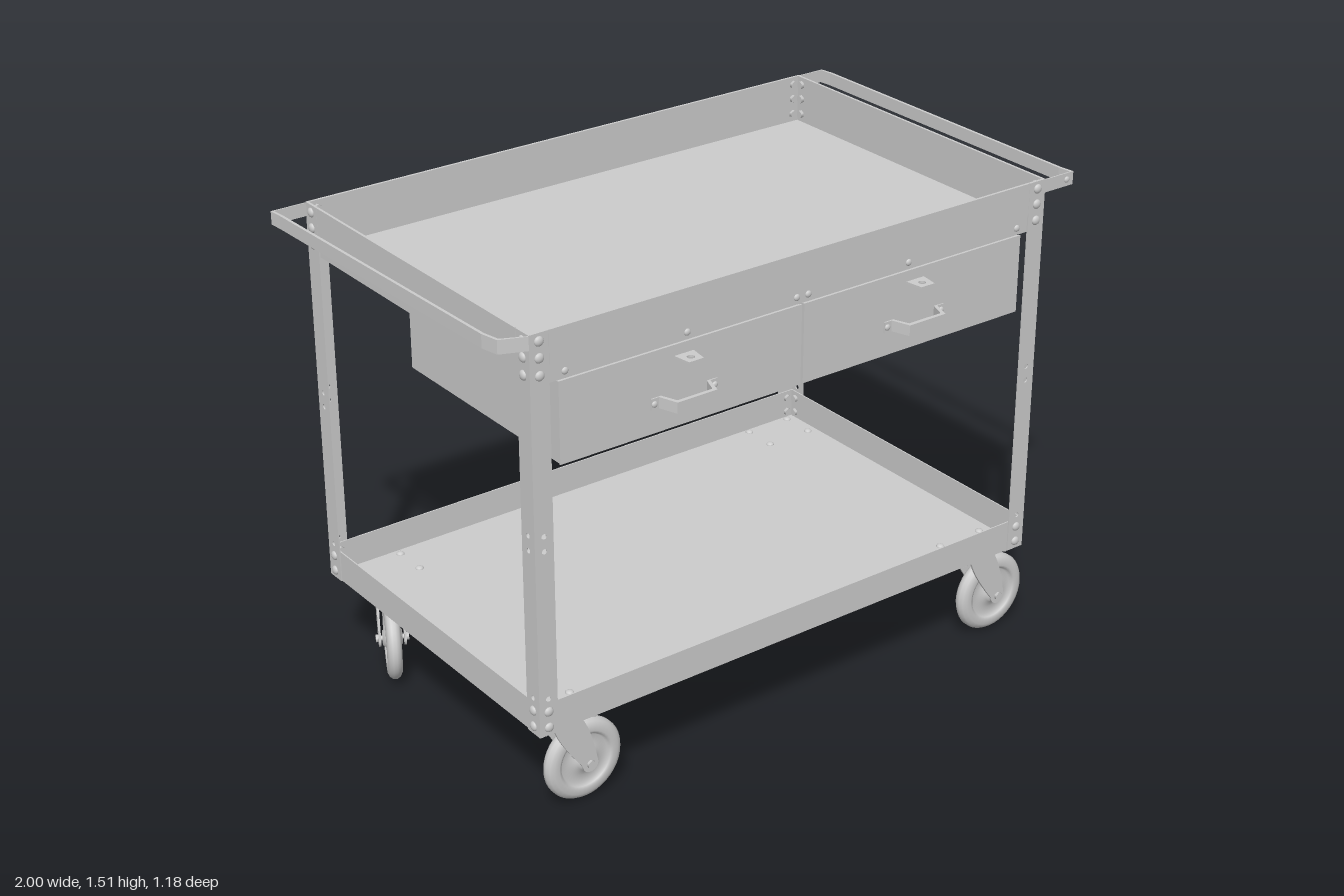
import * as THREE from 'three';

const steel = new THREE.MeshStandardMaterial({ color: 0xcccccc });
steel.name = 'grey steel';

const X = 0.89, ZF = 0.535, ZB = -0.585, T = 0.004;

function add(parent, name, geometry, x = 0, y = 0, z = 0) {
  const mesh = new THREE.Mesh(geometry, steel);
  mesh.name = name;
  mesh.position.set(x, y, z);
  parent.add(mesh);
  return mesh;
}

function group(parent, name, x = 0, y = 0, z = 0, turn = 0) {
  const g = new THREE.Group();
  g.name = name;
  g.position.set(x, y, z);
  g.rotation.y = turn;
  parent.add(g);
  return g;
}

// Box given by its limits
function box(parent, name, x0, x1, y0, y1, z0, z1) {
  return add(parent, name, new THREE.BoxGeometry(x1 - x0, y1 - y0, z1 - z0),
    (x0 + x1) / 2, (y0 + y1) / 2, (z0 + z1) / 2);
}

const dome = new THREE.SphereGeometry(0.016, 14, 5, 0, Math.PI * 2, 0, Math.PI / 2).scale(1, 0.6, 1);
const nut = new THREE.CylinderGeometry(0.013, 0.013, 0.01, 6);

// Bolt head facing +z
function bolt(parent, x, y, z, size = 1) {
  const b = add(parent, 'bolt', dome, x, y, z);
  b.rotation.x = Math.PI / 2;
  b.scale.setScalar(size);
}

// Bent strap lying in x/z, standing upwards by h
function strap(parent, name, outer, inner, y, h) {
  const pts = [...outer, ...inner.slice().reverse()].map(([x, z]) => new THREE.Vector2(x, -z));
  const geo = new THREE.ExtrudeGeometry(new THREE.Shape(pts), { depth: h, bevelEnabled: false });
  geo.rotateX(-Math.PI / 2);
  return add(parent, name, geo, 0, y, 0);
}

// Open tray: floor and four walls inside the posts
function tray(parent, name, y0, y1) {
  const g = group(parent, name);
  const x = X - T, f = ZF - T, b = ZB + T;
  box(g, 'trayFloor', -x, x, y0, y0 + T, b, f);
  box(g, 'frontWall', -x, x, y0, y1, f - T, f);
  box(g, 'backWall', -x, x, y0, y1, b, b + T);
  for (const s of [-1, 1]) {
    box(g, 'endWall', s > 0 ? x - T : -x, s > 0 ? x : T - x, y0, y1, b, f);
  }
}

// Corner post of two punched flanges with bolts
function post(parent, x, z, turn) {
  const g = group(parent, 'cornerPost', x, 0, z, turn);
  const shape = new THREE.Shape([[-0.06, 0.315], [0, 0.315], [0, 1.515], [-0.06, 1.515]]
    .map(p => new THREE.Vector2(...p)));
  for (const y of [0.43, 0.885, 0.93]) {
    shape.holes.push(new THREE.Path().absarc(-0.03, y, 0.008, 0, Math.PI * 2, true));
  }
  const flange = new THREE.ExtrudeGeometry(shape, { depth: T, bevelEnabled: false, curveSegments: 8 });
  for (const side of [0, 1]) {
    const f = group(g, 'postFlange', 0, 0, 0, side * Math.PI / 2);
    // The second flange is turned and shifted to the other side of the corner
    const dx = side ? 0.06 : 0;
    add(f, 'flangePlate', flange, dx, 0, -T);
    for (const y of [0.34, 0.39, 1.395, 1.445, 1.492]) {
      bolt(f, dx - 0.03, y, 0, 0.9);
      add(f, 'nut', nut, dx - 0.03, y, -0.015).rotation.x = Math.PI / 2;
    }
  }
}

// Wheel profile: hub, dished disc and rounded tyre
const half = [[0.0, 0.03], [0.022, 0.03], [0.03, 0.02], [0.05, 0.012], [0.078, 0.01], [0.084, 0.02],
  [0.092, 0.023], [0.108, 0.022], [0.12, 0.016], [0.127, 0.006]];
const profile = [...half.map(([r, w]) => [r, -w]), ...half.slice().reverse()]
  .map(p => new THREE.Vector2(...p));
const wheelGeo = new THREE.LatheGeometry(profile, 40).rotateX(Math.PI / 2);

// Swivel caster trailing along its own +x
function caster(parent, x, z, turn, axle) {
  const trail = 0.08;
  const mount = group(parent, 'casterMount', x, 0, z);
  box(mount, 'mountingPlate', -0.095, 0.095, 0.31, 0.315, -0.07, 0.07);
  for (const sx of [-1, 1]) for (const sz of [-1, 1]) {
    add(mount, 'plateBolt', dome, sx * 0.08, 0.319, sz * 0.055).scale.setScalar(0.8);
    add(mount, 'plateNut', nut, sx * 0.08, 0.307, sz * 0.055);
  }
  const g = group(parent, 'caster', x, 0, z, turn);
  add(g, 'swivel', new THREE.CylinderGeometry(0.045, 0.045, 0.012, 24), 0, 0.304, 0);
  box(g, 'forkBridge', -0.04, 0.05, 0.285, 0.3, -0.042, 0.042);

  // Curved fork cheek from the bridge down to the axle
  const s = new THREE.Shape();
  s.moveTo(-0.04, 0.3);
  s.quadraticCurveTo(-0.034, 0.25, trail - 0.026, axle);
  s.absarc(trail, axle, 0.026, Math.PI, Math.PI * 2, false);
  s.quadraticCurveTo(0.085, 0.25, 0.05, 0.3);
  const cheek = new THREE.ExtrudeGeometry(s, { depth: 0.007, bevelEnabled: false });
  for (const w of [-0.042, 0.035]) add(g, 'forkCheek', cheek, 0, 0, w);

  add(g, 'wheel', wheelGeo, trail, axle, 0);
  const pin = add(g, 'axle', new THREE.CylinderGeometry(0.008, 0.008, 0.1, 12), trail, axle, 0);
  pin.rotation.x = Math.PI / 2;
  for (const w of [-0.045, 0.045]) {
    add(g, 'axleNut', nut, trail, axle, w).rotation.x = Math.PI / 2;
  }
}

// Drawer with bent pull and lock tab
function drawer(parent, x0, x1) {
  const g = group(parent, 'drawer');
  const c = (x0 + x1) / 2, z = 0.53;
  box(g, 'drawerBox', x0 + 0.002, x1 - 0.002, 1.121, 1.358, -0.2, z - T);
  box(g, 'drawerFront', x0, x1, 1.12, 1.36, z - T, z);
  const pull = strap(g, 'drawerPull',
    [[-0.11, z], [-0.11, z + T], [-0.085, z + T], [-0.066, 0.59], [0.066, 0.59], [0.085, z + T], [0.11, z + T], [0.11, z]],
    [[-0.076, z], [-0.058, 0.578], [0.058, 0.578], [0.076, z]], 1.192, 0.033);
  pull.position.x = c;
  for (const s of [-1, 1]) bolt(g, c + s * 0.1, 1.208, z + T, 0.6);

  const tab = new THREE.Shape([[-0.032, -z], [-0.024, -0.585], [0.024, -0.585], [0.032, -z]]
    .map(p => new THREE.Vector2(...p)));
  tab.holes.push(new THREE.Path().absarc(0, -0.56, 0.011, 0, Math.PI * 2, true));
  const tabGeo = new THREE.ExtrudeGeometry(tab, { depth: 0.006, bevelEnabled: false });
  add(g, 'lockTab', tabGeo.rotateX(-Math.PI / 2), c, 1.322, 0);
}

export function createModel() {
  const cart = new THREE.Group();
  cart.name = 'utilityCart';

  // Trays, the upper one with a raised rim band between the posts
  tray(cart, 'lowerTray', 0.315, 0.413);
  tray(cart, 'upperTray', 1.365, 1.515);
  const rim = group(cart, 'upperRim');
  const rx = X - 0.061;
  box(rim, 'frontRim', -rx, rx, 1.418, 1.515, ZF - T, ZF);
  box(rim, 'backRim', -rx, rx, 1.418, 1.515, ZB, ZB + T);
  for (const x of [-X, X - T]) box(rim, 'endRim', x, x + T, 1.418, 1.515, ZB + 0.061, ZF - 0.061);
  for (const x of [-0.78, -0.39, -0.02, 0.02, 0.38, 0.79]) bolt(cart, x, 1.386, ZF - T, 0.65);

  // Corner posts
  post(cart, X, ZF, 0);
  post(cart, X, ZB, Math.PI / 2);
  post(cart, -X, ZB, Math.PI);
  post(cart, -X, ZF, -Math.PI / 2);

  // Drawers side by side
  drawer(cart, -0.8, 0);
  drawer(cart, 0.008, 0.808);

  // Straight end handle
  const leftHandle = group(cart, 'leftHandle');
  strap(leftHandle, 'handleStrap',
    [[X, ZF], [1, ZF], [0.995, 0.49], [0.992, -0.54], [0.985, ZB], [X, ZB]],
    [[X, ZF - T], [0.99, ZF - T], [0.986, 0.49], [0.983, -0.54], [0.979, ZB + T], [X, ZB + T]], 1.473, 0.04);
  bolt(leftHandle, 0.975, 1.493, ZF, 0.6);

  // Slightly bent end handle on the other side
  const rightHandle = group(cart, 'rightHandle');
  strap(rightHandle, 'handleStrap',
    [[-X, ZB], [-1, ZB], [-0.997, -0.54], [-0.976, 0.45], [-0.965, 0.505], [-X, ZF]],
    [[-X, ZB + T], [-0.992, ZB + T], [-0.988, -0.54], [-0.967, 0.45], [-0.957, 0.5], [-X, ZF - T]], 1.473, 0.04);

  // Casters, each swivelled its own way
  caster(cart, -0.778, 0.452, 0, 0.134);
  caster(cart, 0.76, 0.452, 0, 0.134);
  caster(cart, 0.77, -0.505, -Math.PI / 2, 0.134);
  caster(cart, -0.745, -0.5, -Math.PI * 0.65, 0.127);

  return cart;
}
